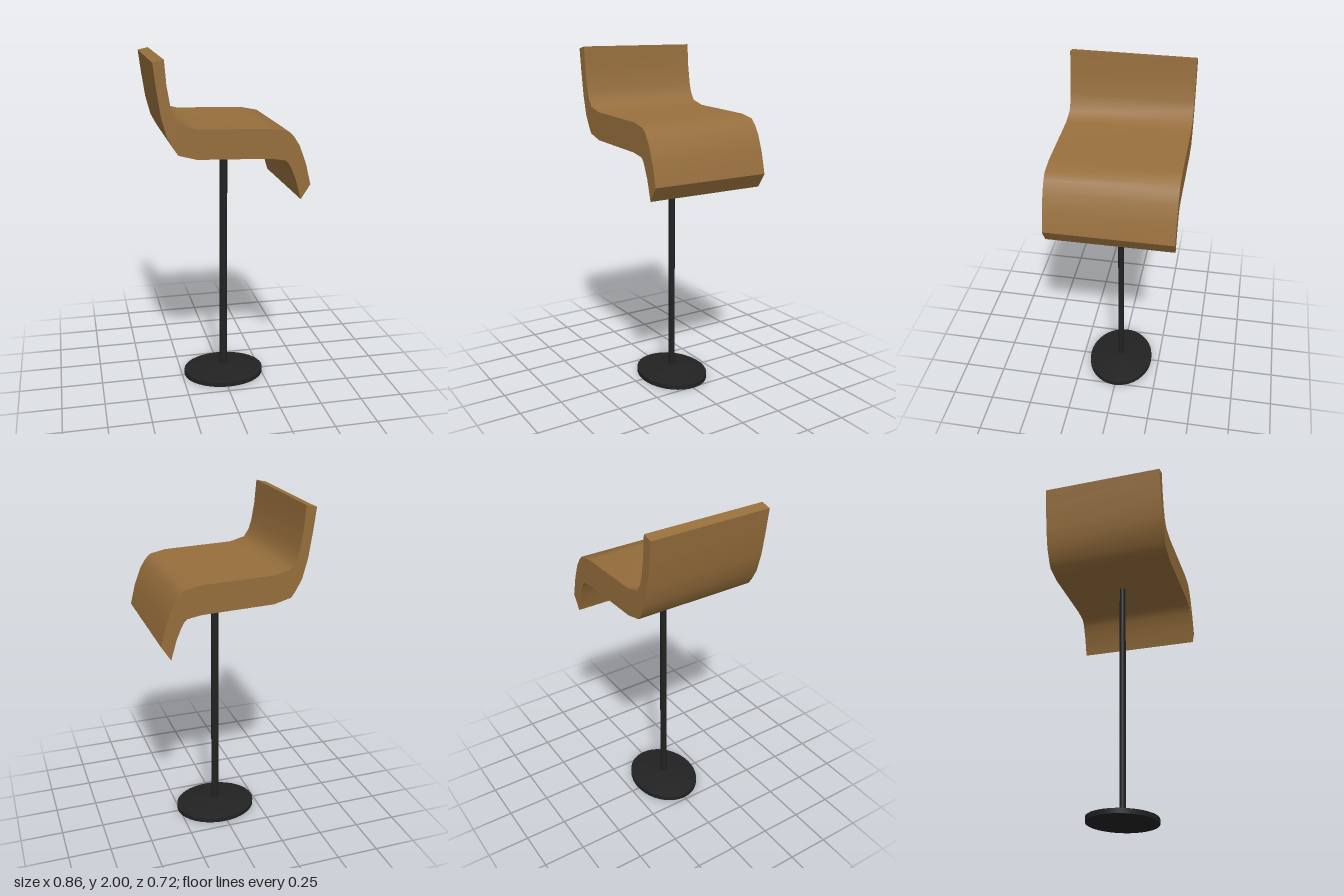
import * as THREE from 'three';
import { toCreasedNormals } from 'three/addons/utils/BufferGeometryUtils.js';

export function createModel() {
  const model = new THREE.Group();
  model.name = 'barStool';
  const wood = new THREE.MeshStandardMaterial({ color: 0x966e3c });
  wood.name = 'brown seat';
  const metal = new THREE.MeshStandardMaterial({ color: 0x222222 });
  metal.name = 'black metal';

  const add = (name, geometry, material) => {
    const mesh = new THREE.Mesh(geometry, material);
    mesh.name = name;
    model.add(mesh);
    return mesh;
  };

  // Seat: one bent slab, its side outline extruded across the width
  const upper = [
    [-0.37, 2.0], [-0.36, 1.87], [-0.342, 1.76], [-0.325, 1.705], [-0.295, 1.66],
    [-0.205, 1.636], [0.205, 1.624], [0.3, 1.605], [0.33, 1.575], [0.362, 1.525],
    [0.4, 1.425], [0.43, 1.305],
  ];
  const lower = [
    [0.377, 1.222], [0.345, 1.335], [0.318, 1.4], [0.302, 1.43], [0.285, 1.446],
    [0.205, 1.46], [-0.205, 1.473], [-0.305, 1.5], [-0.33, 1.537], [-0.364, 1.6],
    [-0.393, 1.71], [-0.415, 1.86], [-0.43, 1.986],
  ];
  const outline = new THREE.Shape([...upper, ...lower].map(([x, y]) => new THREE.Vector2(x, y)));
  const seat = new THREE.ExtrudeGeometry(outline, { depth: 0.72, bevelEnabled: false });
  seat.translate(0, 0, -0.36);
  add('seat', toCreasedNormals(seat, 0.75), wood);

  // Post: slightly oval column
  const post = add('post', new THREE.CylinderGeometry(1, 1, 1.43, 24), metal);
  post.scale.set(0.023, 1, 0.018);
  post.position.set(0.014, 0.755, 0);

  // Base: oval disc with a shallow conical top
  const profile = [[0, 0], [1, 0], [1, 0.028], [0.09, 0.06], [0, 0.06]]
    .map(([r, y]) => new THREE.Vector2(r, y));
  const disc = new THREE.LatheGeometry(profile, 40);
  disc.scale(0.248, 1, 0.202);
  const base = add('base', toCreasedNormals(disc, 0.5), metal);
  base.position.x = 0.014;

  return model;
}
